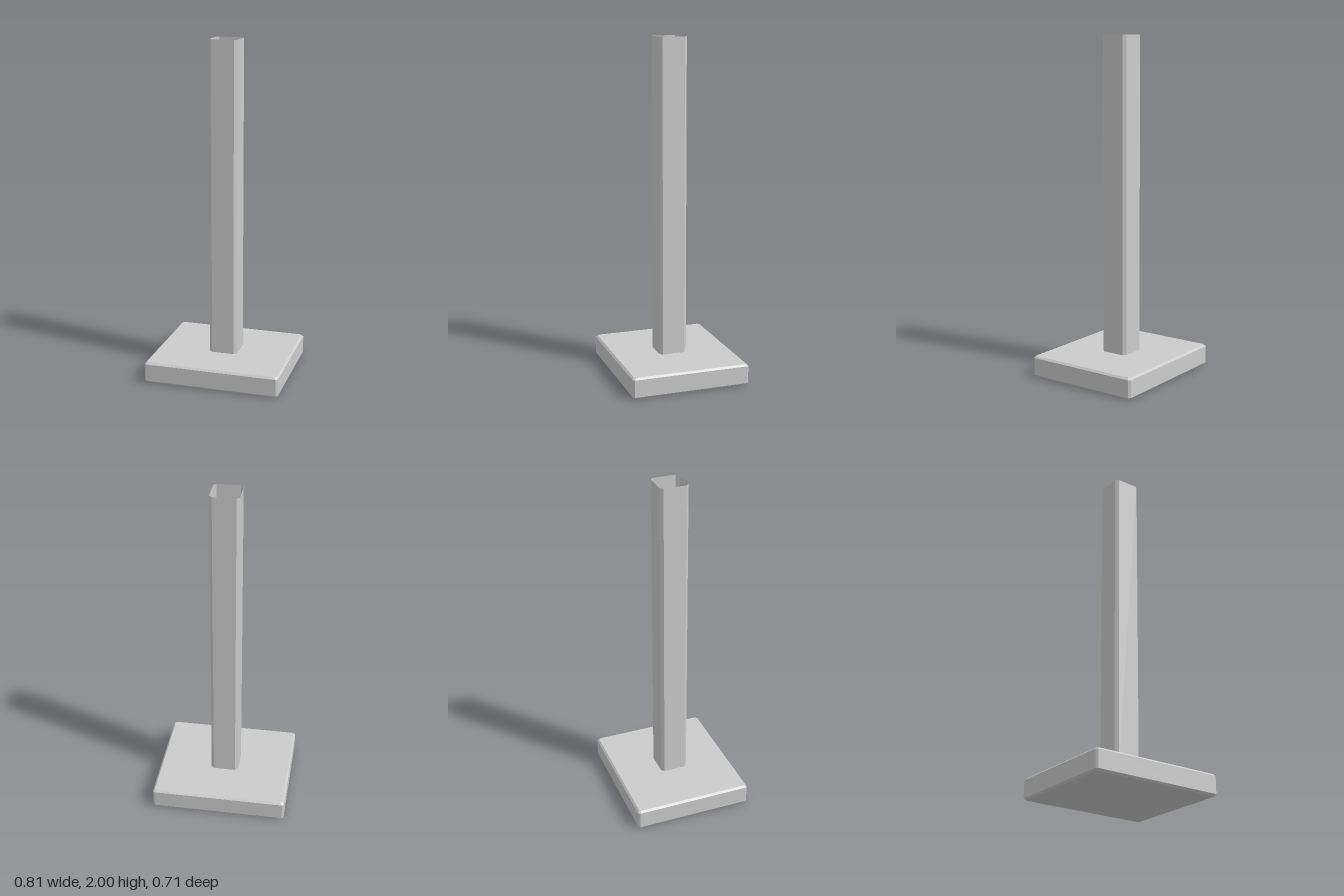
import * as THREE from 'three';
import { ConvexGeometry } from 'three/addons/geometries/ConvexGeometry.js';

// Rectangle with clipped corners at height y
function clippedRing(hx, hz, c, y) {
  return [
    [hx, hz - c], [hx - c, hz], [-hx + c, hz], [-hx, hz - c],
    [-hx, -hz + c], [-hx + c, -hz], [hx - c, -hz], [hx, -hz + c],
  ].map(([x, z]) => new THREE.Vector3(x, y, z));
}

// Open tube wall between two rings, with flat facets
function openWall(low, high) {
  const points = [];
  low.forEach((a, i) => {
    const j = (i + 1) % low.length;
    points.push(a, high[i], low[j], low[j], high[i], high[j]);
  });
  const geometry = new THREE.BufferGeometry().setFromPoints(points);
  geometry.computeVertexNormals();
  return geometry;
}

export function createModel() {
  const group = new THREE.Group();
  group.name = 'postOnBase';
  const grey = new THREE.MeshStandardMaterial({ color: 0xcccccc, side: THREE.DoubleSide });
  grey.name = 'light grey';

  // Base slab with bevelled edges
  const HX = 0.405, HZ = 0.353, H = 0.125, B = 0.011;
  const base = new THREE.Mesh(new ConvexGeometry([
    ...clippedRing(HX - B, HZ - B, B, 0),
    ...clippedRing(HX, HZ, B, B),
    ...clippedRing(HX, HZ, B, H - B),
    ...clippedRing(HX - B, HZ - B, B, H),
  ]), grey);
  base.name = 'base';

  // Hollow square post, open at the top
  const P = 0.084, C = 0.017;
  const post = new THREE.Mesh(
    openWall(clippedRing(P, P, C, H), clippedRing(P, P, C, 2)), grey);
  post.name = 'post';

  group.add(base, post);
  return group;
}
